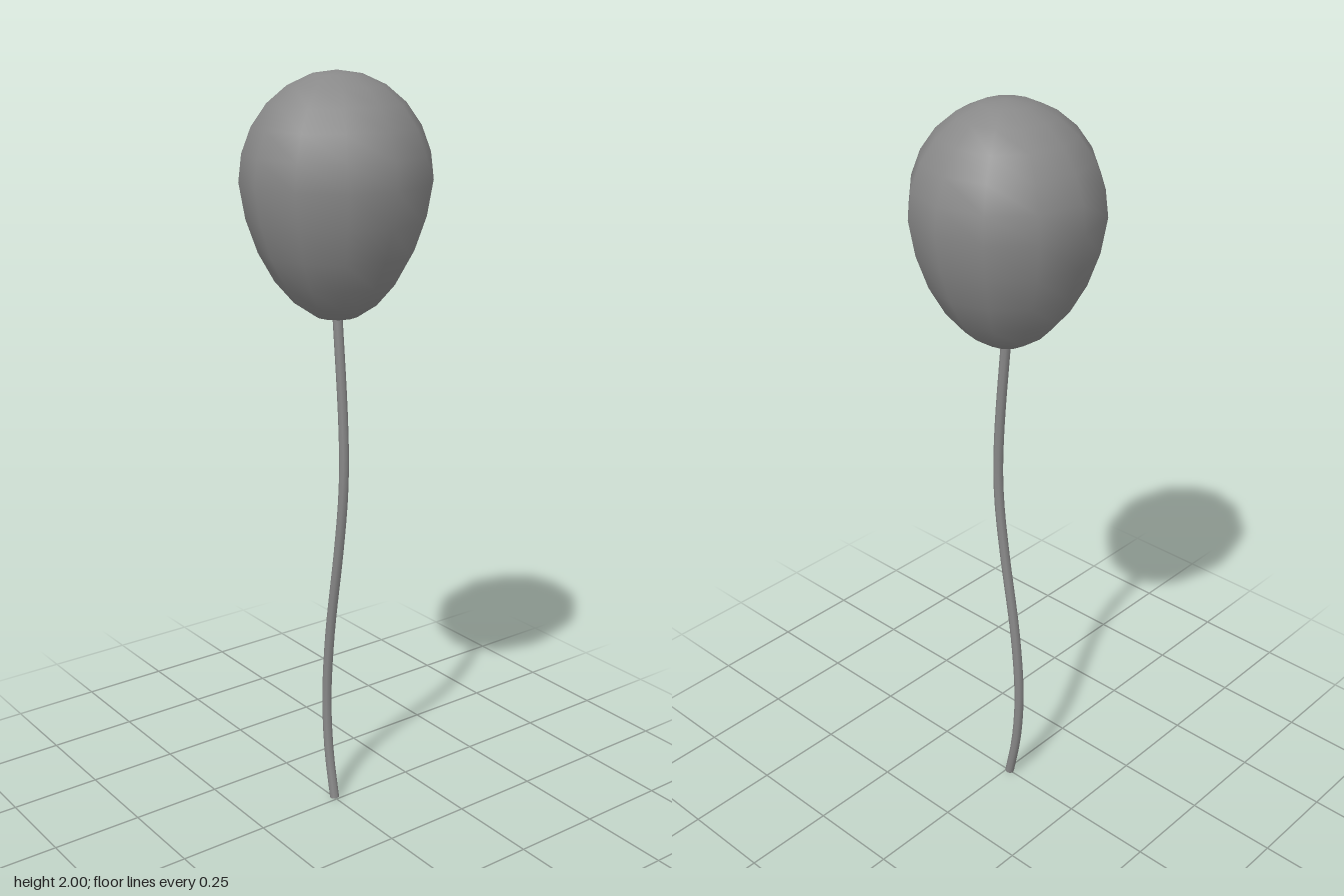
import * as THREE from 'three';
import { mergeVertices } from 'three/addons/utils/BufferGeometryUtils.js';

const material = new THREE.MeshStandardMaterial({ color: 0x898989 });

function makeMesh(name, geometry) {
  const mesh = new THREE.Mesh(geometry, material);
  mesh.name = name;
  return mesh;
}

// Egg-shaped body: a sphere with a short upper half and a longer, tapering lower half
function makeBalloon() {
  const radius = 0.242, widest = 1.735, up = 0.265, down = 0.35, taper = 0.12;
  const sphere = new THREE.SphereGeometry(1, 12, 12);
  sphere.deleteAttribute('uv');
  sphere.deleteAttribute('normal');
  const geometry = mergeVertices(sphere);
  const position = geometry.attributes.position;
  for (let i = 0; i < position.count; i++) {
    const y = position.getY(i);
    const width = radius * (1 + taper * Math.min(y, 0));
    position.setXYZ(i, position.getX(i) * width, widest + y * (y < 0 ? down : up), position.getZ(i) * width);
  }
  geometry.computeVertexNormals();
  return makeMesh('balloon', geometry);
}

// Gently waving string with a closed lower end
function makeString() {
  const group = new THREE.Group();
  group.name = 'string';
  const radius = 0.013, sides = 8;
  const points = [
    [0.003, -0.01], [0.14, -0.036], [0.3, -0.046], [0.5, -0.031], [0.75, 0.008],
    [0.9, 0.027], [1.01, 0.032], [1.15, 0.026], [1.4, 0.003],
  ].map(([y, z]) => new THREE.Vector3(0, y, z));
  const path = new THREE.CatmullRomCurve3(points);
  group.add(makeMesh('stringLength', new THREE.TubeGeometry(path, 28, radius, sides)));

  const end = makeMesh('stringEnd', new THREE.CircleGeometry(radius, sides));
  end.position.copy(points[0]);
  end.lookAt(points[0].clone().sub(path.getTangentAt(0)));
  group.add(end);
  return group;
}

export function createModel() {
  const model = new THREE.Group();
  model.name = 'balloonOnString';
  model.add(makeBalloon(), makeString());
  return model;
}
